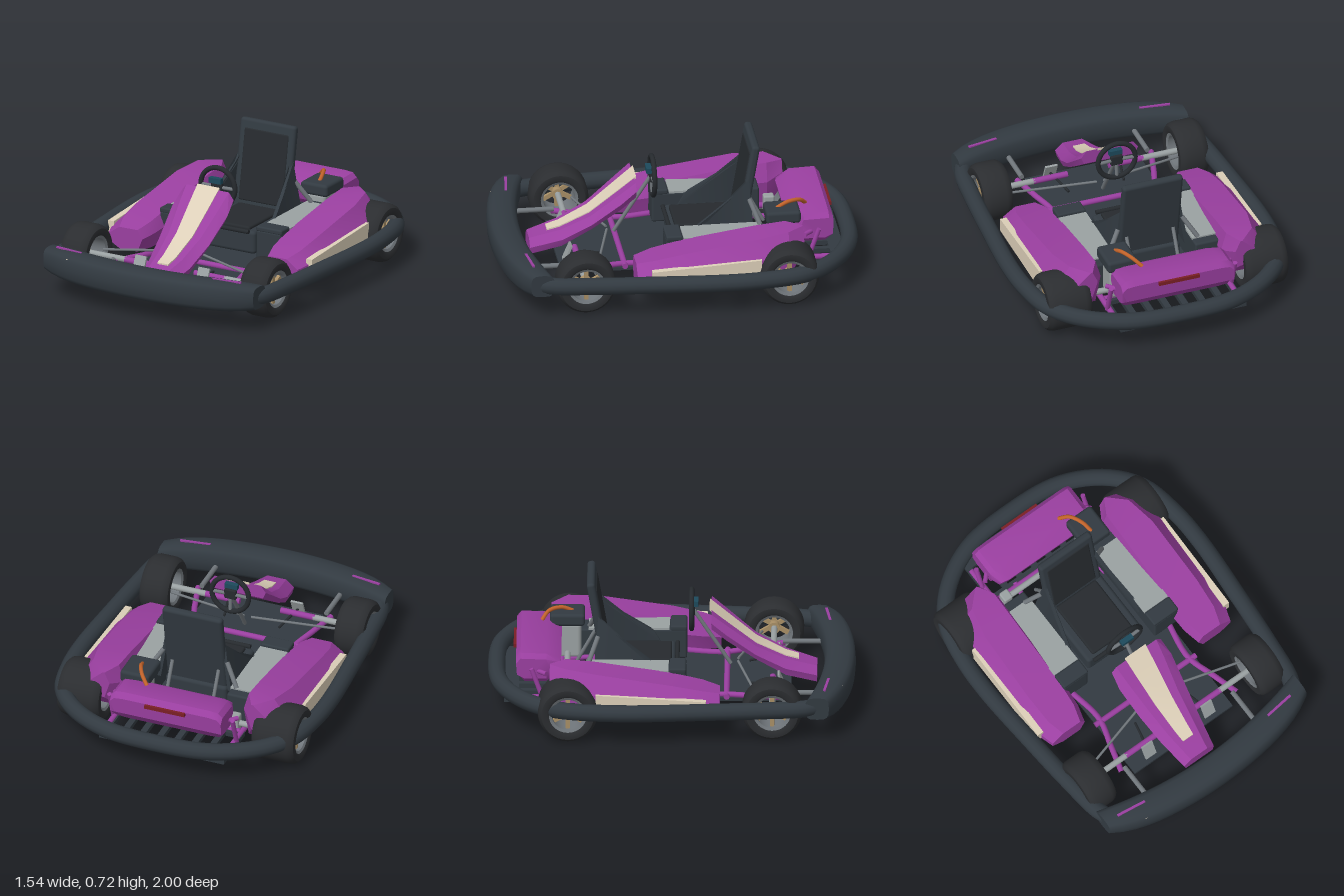
import * as THREE from 'three';
import { toCreasedNormals } from 'three/addons/utils/BufferGeometryUtils.js';
import { RoundedBoxGeometry } from 'three/addons/geometries/RoundedBoxGeometry.js';

const mat = (color, side = THREE.FrontSide) => new THREE.MeshStandardMaterial({ color, side });
const M = {
  purple: mat(0x9a3fa0), dark: mat(0x323a41), black: mat(0x262a2e), tyre: mat(0x2b2d30), cream: mat(0xdccfb8),
  grey: mat(0x9aa1a2), steel: mat(0x70767b), tan: mat(0xa98f66), orange: mat(0xc0622a), red: mat(0x7a1f24), teal: mat(0x1d4a5c),
};
const V = (x, y, z) => new THREE.Vector3(x, y, z);

// Closed solid through rings of [x, y, z] points, capped at both ends and facing outwards
function loft(rings, crease = 0.6) {
  const n = rings[0].length, tris = [];
  for (let i = 0; i < rings.length - 1; i++) for (let j = 0; j < n; j++) {
    const k = (j + 1) % n, a = rings[i][j], b = rings[i][k], c = rings[i + 1][k], d = rings[i + 1][j];
    tris.push([a, b, c], [a, c, d]);
  }
  const last = rings[rings.length - 1];
  for (let j = 1; j < n - 1; j++) tris.push([rings[0][0], rings[0][j + 1], rings[0][j]], [last[0], last[j], last[j + 1]]);
  let volume = 0;
  for (const [a, b, c] of tris) volume += V(...a).dot(V(...b).cross(V(...c)));
  const pos = tris.flatMap((t) => (volume < 0 ? [t[0], t[2], t[1]] : t)).flat();
  const g = new THREE.BufferGeometry();
  g.setAttribute('position', new THREE.Float32BufferAttribute(pos, 3));
  return toCreasedNormals(g, crease);
}

export function createModel() {
  const root = new THREE.Group();
  root.name = 'goKart';
  const add = (name, geo, m, x = 0, y = 0, z = 0, parent = root) => {
    const mesh = new THREE.Mesh(geo, m);
    mesh.name = name;
    mesh.position.set(x, y, z);
    parent.add(mesh);
    return mesh;
  };
  const box = (name, w, h, d, m, x, y, z, r = 0) =>
    add(name, r ? new RoundedBoxGeometry(w, h, d, 2, r) : new THREE.BoxGeometry(w, h, d), m, x, y, z);
  const rod = (name, a, b, r, m) => {
    const p = V(...a), q = V(...b), dir = q.clone().sub(p);
    const mesh = add(name, new THREE.CylinderGeometry(r, r, dir.length(), 12), m);
    mesh.position.copy(p).add(q).multiplyScalar(0.5);
    mesh.quaternion.setFromUnitVectors(V(0, 1, 0), dir.normalize());
  };
  const tube = (name, pts, r, m, seg = 40) =>
    add(name, new THREE.TubeGeometry(new THREE.CatmullRomCurve3(pts.map((p) => V(...p))), seg, r, 12), m);

  // Wheels: lathed tyre, open rim and spokes
  const wheel = (name, x, z, w) => {
    const g = new THREE.Group(), h = w / 2;
    g.name = name;
    g.position.set(x, 0.163, z);
    g.rotation.z = x > 0 ? -Math.PI / 2 : Math.PI / 2;
    const prof = [[0.1, -h + 0.01], [0.115, -h], [0.143, -h + 0.003], [0.157, -h + 0.018], [0.163, -h + 0.04],
      [0.163, h - 0.04], [0.157, h - 0.018], [0.143, h - 0.003], [0.115, h], [0.1, h - 0.01], [0.1, -h + 0.01]];
    add('tyre', toCreasedNormals(new THREE.LatheGeometry(prof.map((p) => new THREE.Vector2(...p)), 32), 0.7), M.tyre, 0, 0, 0, g);
    const lip = [[0.088, -h + 0.015], [0.103, -h + 0.008], [0.103, h - 0.008], [0.088, h - 0.015], [0.088, -h + 0.015]];
    add('rim', toCreasedNormals(new THREE.LatheGeometry(lip.map((p) => new THREE.Vector2(...p)), 32), 0.5), M.steel, 0, 0, 0, g);
    add('hub', new THREE.CylinderGeometry(0.028, 0.032, 0.07, 16), M.tan, 0, h - 0.06, 0, g);
    for (let i = 0; i < 6; i++) {
      const a = (i * Math.PI) / 3;
      const s = add('spoke', new THREE.BoxGeometry(0.075, 0.02, 0.024), M.tan, 0.058 * Math.cos(a), h - 0.045, -0.058 * Math.sin(a), g);
      s.rotation.y = a;
    }
    root.add(g);
  };

  // Surrounding bumper tube
  const half = [[0.3, -0.925], [0.53, -0.805], [0.665, -0.64], [0.715, -0.42], [0.725, -0.2], [0.7, 0.2], [0.675, 0.5], [0.645, 0.73], [0.59, 0.84]];
  const ring = [...half.map(([x, z]) => [-x, z]).reverse(), [0, -0.953], ...half];
  tube('bumperRing', ring.map(([x, z]) => [x + 0.015, 0.183, z]), 0.047, M.dark, 100);

  // Front bumper: rounded section swept along a bowed line
  const front = [];
  for (let i = 0; i <= 20; i++) {
    const u = -1 + i / 10, e = Math.pow(Math.abs(u), 6), zc = 0.915 - 0.1 * u * u - 0.02 * e;
    const hz = 0.085 - 0.02 * e, hy = 0.083 - 0.02 * e;
    front.push(Array.from({ length: 16 }, (_, j) => {
      const a = (j * Math.PI) / 8, f = (v) => Math.sign(v) * Math.pow(Math.abs(v), 0.6);
      return [0.665 * u + 0.01, 0.192 + hy * f(Math.sin(a)), zc + hz * f(Math.cos(a))];
    }));
  }
  add('frontBumper', loft(front, 0.7), M.dark);

  // Floor pan and slotted rear tray
  add('floorPan', loft([0.105, 0.122].map((y) => [[-0.33, y, 0.65], [0.33, y, 0.65], [0.34, y, -0.4], [-0.34, y, -0.4]])), M.dark);
  box('trayRearEdge', 0.73, 0.025, 0.08, M.dark, -0.005, 0.122, -0.87);
  box('trayFrontEdge', 0.73, 0.025, 0.04, M.dark, -0.005, 0.122, -0.62);
  for (let i = 0; i < 8; i++) box('trayBar', 0.035, 0.025, 0.24, M.dark, -0.352 + i * 0.0993, 0.122, -0.74);

  // Side-to-side tubes, rear axle, steering gear
  for (const z of [0.3, -0.43, -0.6]) rod('crossTube', [-0.34, 0.13, z], [0.34, 0.13, z], 0.016, M.purple);
  rod('rearAxle', [-0.6, 0.163, -0.57], [0.6, 0.163, -0.57], 0.017, M.grey);
  box('axleBearing', 0.055, 0.1, 0.06, M.grey, -0.3, 0.165, -0.57, 0.01);
  rod('steeringColumn', [0, 0.5, 0.12], [0, 0.19, 0.32], 0.011, M.steel);
  rod('brakeRod', [-0.205, 0.085, 0.3], [-0.205, 0.13, 0.3], 0.006, M.black);

  for (const s of [-1, 1]) {
    wheel('frontWheel', s * 0.57, 0.55, 0.17);
    wheel('rearWheel', s * 0.57, -0.56, 0.25);

    // Chassis rails and supports
    tube('sideRail', [[s * 0.35, 0.13, -0.82], [s * 0.35, 0.13, -0.4], [s * 0.34, 0.13, 0], [s * 0.3, 0.13, 0.28], [s * 0.345, 0.14, 0.45], [s * 0.39, 0.15, 0.61]], 0.016, M.purple);
    rod('tankPost', [s * 0.36, 0.13, -0.7], [s * 0.36, 0.3, -0.76], 0.013, M.purple);
    rod('tankStay', [s * 0.36, 0.27, -0.68], [s * 0.3, 0.27, -0.74], 0.013, M.purple);
    rod('innerTube', [s * 0.2, 0.13, -0.62], [s * 0.23, 0.13, -0.38], 0.014, M.purple);
    rod('bumperStay', [s * 0.365, 0.17, 0.6], [s * 0.365, 0.17, 0.87], 0.014, M.steel);
    rod('axleArm', [s * 0.12, 0.163, 0.55], [s * 0.32, 0.163, 0.55], 0.017, M.purple);
    rod('stubAxle', [s * 0.31, 0.163, 0.55], [s * 0.56, 0.163, 0.55], 0.017, M.grey);
    rod('tieRod', [s * 0.02, 0.21, 0.36], [s * 0.5, 0.17, 0.485], 0.007, M.steel);
    rod('pedalRod', [s * 0.16, 0.14, 0.42], [s * 0.2, 0.16, 0.6], 0.007, M.black);
    const pedal = box('pedal', 0.07, 0.1, 0.012, M.grey, s * 0.2, 0.17, 0.6);
    pedal.rotation.x = -0.4;

    // Side pod: z, inner x, outer x, top y
    const pod = [[-0.66, 0.4, 0.51, 0.36], [-0.57, 0.35, 0.6, 0.368], [-0.4, 0.35, 0.635, 0.35], [0, 0.35, 0.64, 0.29], [0.17, 0.36, 0.63, 0.255], [0.265, 0.385, 0.6, 0.23]];
    add('sidePod', loft(pod.map(([z, xi, xo, y], i) => {
      const low = i ? 0.107 : 0.2, mid = low + (y - low) * 0.6;
      return [[xi + 0.03, low, z], [xo - 0.07, low, z], [xo, low + 0.04, z], [xo, mid, z], [xo - 0.07, y, z], [xi + 0.03, y, z], [xi, mid, z]]
        .map(([x, yy, zz]) => [s * x, yy, zz]);
    }), 0.35), M.purple);
    add('podPanel', loft([0.61, 0.647].map((x) => [[s * x, 0.15, 0.19], [s * x, 0.225, 0.19], [s * x, 0.262, -0.41], [s * x, 0.15, -0.41]])), M.cream);

    // Battery boxes beside the seat
    box('batteryBox', 0.16, 0.17, 0.59, M.dark, s * 0.305, 0.207, -0.215, 0.012);
    box('batteryCover', 0.16, 0.012, 0.44, M.grey, s * 0.305, 0.294, -0.235);
    box('batteryCap', 0.165, 0.03, 0.09, M.dark, s * 0.305, 0.298, 0.035, 0.01);

    // Seat wing and stay
    add('seatWing', loft([0, 0.02].map((d) => [[0.235, 0.22, -0.06], [0.235, 0.29, -0.1], [0.18, 0.48, -0.37], [0.175, 0.53, -0.4], [0.215, 0.25, -0.42]]
      .map(([x, y, z]) => [s * (x - d), y, z]))), M.dark);
    rod('seatStay', [s * 0.26, 0.3, -0.45], [s * 0.185, 0.42, -0.4], 0.013, M.steel);
    rod('seatBackStay', [s * 0.135, 0.14, -0.52], [s * 0.135, 0.36, -0.4], 0.01, M.steel);

    // Bumper trim and lamps
    const trim = box('bumperStripe', 0.17, 0.008, 0.014, M.purple, s * 0.5, 0.272, 0.845);
    trim.rotation.y = s * 0.13;
    const lamp = add('frontLamp', new THREE.CylinderGeometry(0.013, 0.013, 0.02, 3), M.cream, s * 0.455, 0.245, 0.925);
    lamp.rotation.x = Math.PI / 2;
  }

  // Nose fairing: z, top y, bottom y, top half width, full half width
  const nose = [[0.215, 0.53, 0.45, 0.135, 0.165], [0.3, 0.46, 0.385, 0.125, 0.175], [0.46, 0.33, 0.27, 0.1, 0.155], [0.62, 0.25, 0.17, 0.08, 0.13], [0.79, 0.2, 0.12, 0.055, 0.1]];
  add('noseFairing', loft(nose.map(([z, t, b, a, w]) => [[-a, t, z], [a, t, z], [w, (t + b) / 2, z], [w * 0.9, b, z], [-w * 0.9, b, z], [-w, (t + b) / 2, z]]), 0.35), M.purple);
  const stripe = [[0.205, 0.542, 0.07], [0.3, 0.465, 0.064], [0.46, 0.336, 0.052], [0.62, 0.257, 0.04], [0.69, 0.238, 0.034]];
  add('noseStripe', loft(stripe.map(([z, y, w]) => [[-w, y, z], [w, y, z], [w, y - 0.015, z], [-w, y - 0.015, z]])), M.cream);

  // Steering wheel
  add('steeringRim', new THREE.TorusGeometry(0.108, 0.014, 12, 40), M.black, 0, 0.508, 0.107);
  for (const a of [0, Math.PI, -Math.PI / 2])
    rod('steeringSpoke', [0, 0.508, 0.112], [0.105 * Math.cos(a), 0.508 + 0.105 * Math.sin(a), 0.107], 0.01, M.steel);
  box('steeringHub', 0.07, 0.06, 0.025, M.black, 0, 0.508, 0.112, 0.008);
  box('steeringDisplay', 0.075, 0.03, 0.03, M.teal, 0, 0.55, 0.128);

  // Seat
  box('seatBase', 0.36, 0.13, 0.42, M.dark, 0, 0.185, -0.19, 0.02);
  box('seatCushion', 0.27, 0.03, 0.34, M.black, 0, 0.252, -0.17, 0.012);
  rod('seatFrontBar', [-0.15, 0.25, 0.03], [0.15, 0.25, 0.03], 0.012, M.black);
  const back = box('seatBack', 0.35, 0.5, 0.045, M.dark, 0, 0.475, -0.4, 0.018);
  back.rotation.x = -0.17;
  const pad = box('seatBackPad', 0.28, 0.4, 0.02, M.black, 0, 0.475, -0.383, 0.008);
  pad.rotation.x = -0.17;

  // Rear body with lamp
  const rear = [[-0.325, 0.03], [-0.3, 0.005], [-0.25, 0], [0.25, 0], [0.3, 0.005], [0.325, 0.03]];
  add('rearBody', loft(rear.map(([x, i]) => [[x, 0.2 + i, -0.8], [x, 0.25, -0.84], [x, 0.345 - i, -0.845], [x, 0.375 - i, -0.82],
    [x, 0.37 - i, -0.68], [x, 0.32 - i, -0.6 - 2 * i], [x, 0.24 + i, -0.62 - 2 * i], [x, 0.2 + i, -0.68]])), M.purple);
  box('rearLamp', 0.235, 0.02, 0.02, M.red, 0, 0.335, -0.85);

  // Motor with cable
  box('motorBody', 0.12, 0.2, 0.13, M.grey, 0.255, 0.235, -0.56, 0.02);
  box('motorCover', 0.17, 0.07, 0.19, M.dark, 0.255, 0.363, -0.57, 0.018);
  tube('motorCable', [[0.16, 0.37, -0.71], [0.205, 0.41, -0.67], [0.24, 0.415, -0.6], [0.255, 0.39, -0.54]], 0.011, M.orange, 24);

  root.position.x = -0.015;
  const group = new THREE.Group();
  group.name = 'goKartModel';
  group.add(root);
  return group;
}
